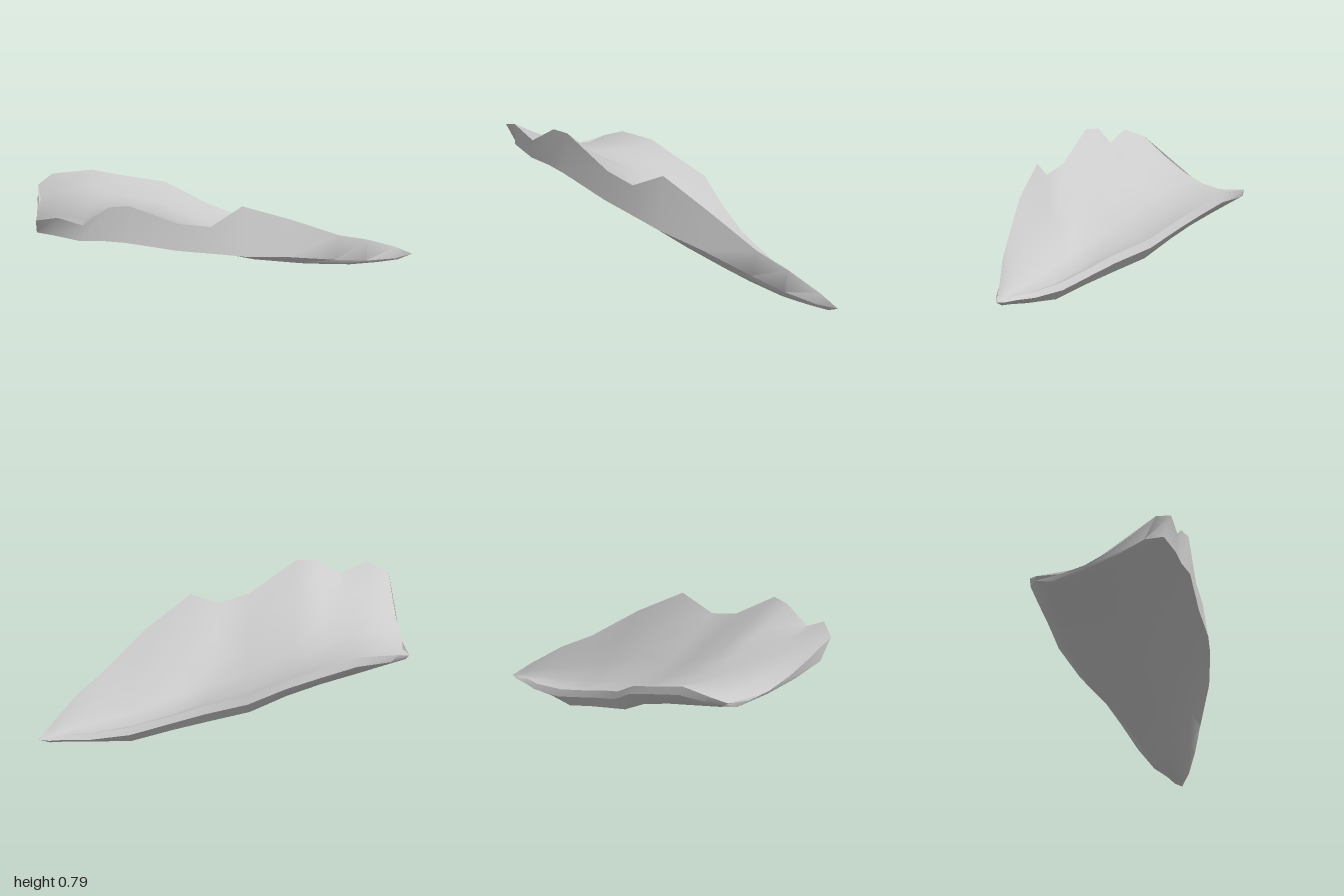
import * as THREE from 'three';
import { toCreasedNormals } from 'three/addons/utils/BufferGeometryUtils.js';

// Four guide lines, running from the broad end towards the pointed end
const rim = [
  [-0.76, 0.69, 0.64], [-0.63, 0.74, 0.64], [-0.5, 0.68, 0.58], [-0.38, 0.78, 0.5],
  [-0.27, 0.79, 0.46], [-0.03, 0.63, 0.31], [0.13, 0.59, 0.22], [0.27, 0.68, 0.09],
  [0.5, 0.52, -0.1], [0.7, 0.33, -0.31], [0.82, 0.24, -0.45], [0.93, 0.12, -0.6],
];
const backLip = [
  [-1, 0.44, -0.04], [-0.95, 0.47, -0.13], [-0.75, 0.48, -0.23], [-0.57, 0.43, -0.31],
  [-0.37, 0.38, -0.4], [-0.15, 0.28, -0.425], [0.1, 0.21, -0.445], [0.27, 0.16, -0.49],
  [0.5, 0.1, -0.555], [0.72, 0.07, -0.625], [0.85, 0.06, -0.64], [0.94, 0.05, -0.66],
];
const keel = [
  [-0.95, 0.4, 0.04], [-0.87, 0.38, -0.05], [-0.72, 0.35, -0.14], [-0.53, 0.31, -0.24],
  [-0.35, 0.26, -0.33], [-0.15, 0.17, -0.38], [0.08, 0.11, -0.41], [0.28, 0.06, -0.45],
  [0.5, 0.0, -0.5], [0.72, 0.0, -0.55], [0.85, 0.01, -0.6], [0.94, 0.015, -0.645],
];
const belly = [
  [-0.78, 0.56, 0.57], [-0.67, 0.6, 0.62], [-0.52, 0.57, 0.58], [-0.4, 0.56, 0.52],
  [-0.28, 0.55, 0.48], [-0.03, 0.46, 0.33], [0.19, 0.41, 0.21], [0.3, 0.37, 0.13],
  [0.5, 0.3, -0.05], [0.69, 0.18, -0.28], [0.82, 0.11, -0.43], [0.93, 0.06, -0.57],
];
const tip = new THREE.Vector3(1, 0.04, -0.68);

// One closed cross-section: over the hollow top, around the back, then along the underside
function section(i) {
  const [R, B, K, W] = [rim, backLip, keel, belly].map((line) => new THREE.Vector3(...line[i]));
  const hollow = (t) => {
    const p = R.clone().lerp(B, t);
    p.y -= t * (1 - t) * (0.9 + 0.8 * t) * (R.y - B.y);
    return p;
  };
  const back = B.clone().lerp(K, 0.4);
  back.z = B.z - 0.02;
  const under = [0.35, 0.7].map((t) => K.clone().lerp(W, t));
  under.forEach((p) => { p.y = Math.max(0, p.y - 0.12 * (W.y - K.y)); });
  return [R, ...[0.2, 0.4, 0.6, 0.8].map(hollow), B, back, K, ...under, W];
}

function shellGeometry() {
  const rings = rim.map((_, i) => section(i));
  const n = rings[0].length;
  const points = [];
  const tri = (...corners) => corners.forEach((p) => points.push(p.x, p.y, p.z));
  for (let i = 0; i < rings.length - 1; i++) {
    for (let j = 0; j < n; j++) {
      const k = (j + 1) % n;
      const a = rings[i][j], b = rings[i + 1][j], c = rings[i + 1][k], d = rings[i][k];
      tri(a, b, c);
      tri(a, c, d);
    }
  }
  // Close the broad end and gather the other end to a point
  const first = rings[0], last = rings[rings.length - 1];
  const centre = first[3].clone().lerp(first[8], 0.5);
  for (let j = 0; j < n; j++) {
    const k = (j + 1) % n;
    tri(centre, first[j], first[k]);
    tri(last[j], tip, last[k]);
  }
  const geometry = new THREE.BufferGeometry();
  geometry.setAttribute('position', new THREE.Float32BufferAttribute(points, 3));
  return toCreasedNormals(geometry, 0.9);
}

export function createModel() {
  const model = new THREE.Group();
  model.name = 'fragment';
  const material = new THREE.MeshStandardMaterial({ color: 0xcccccc, side: THREE.DoubleSide });
  const shell = new THREE.Mesh(shellGeometry(), material);
  shell.name = 'curvedShard';
  model.add(shell);
  return model;
}
